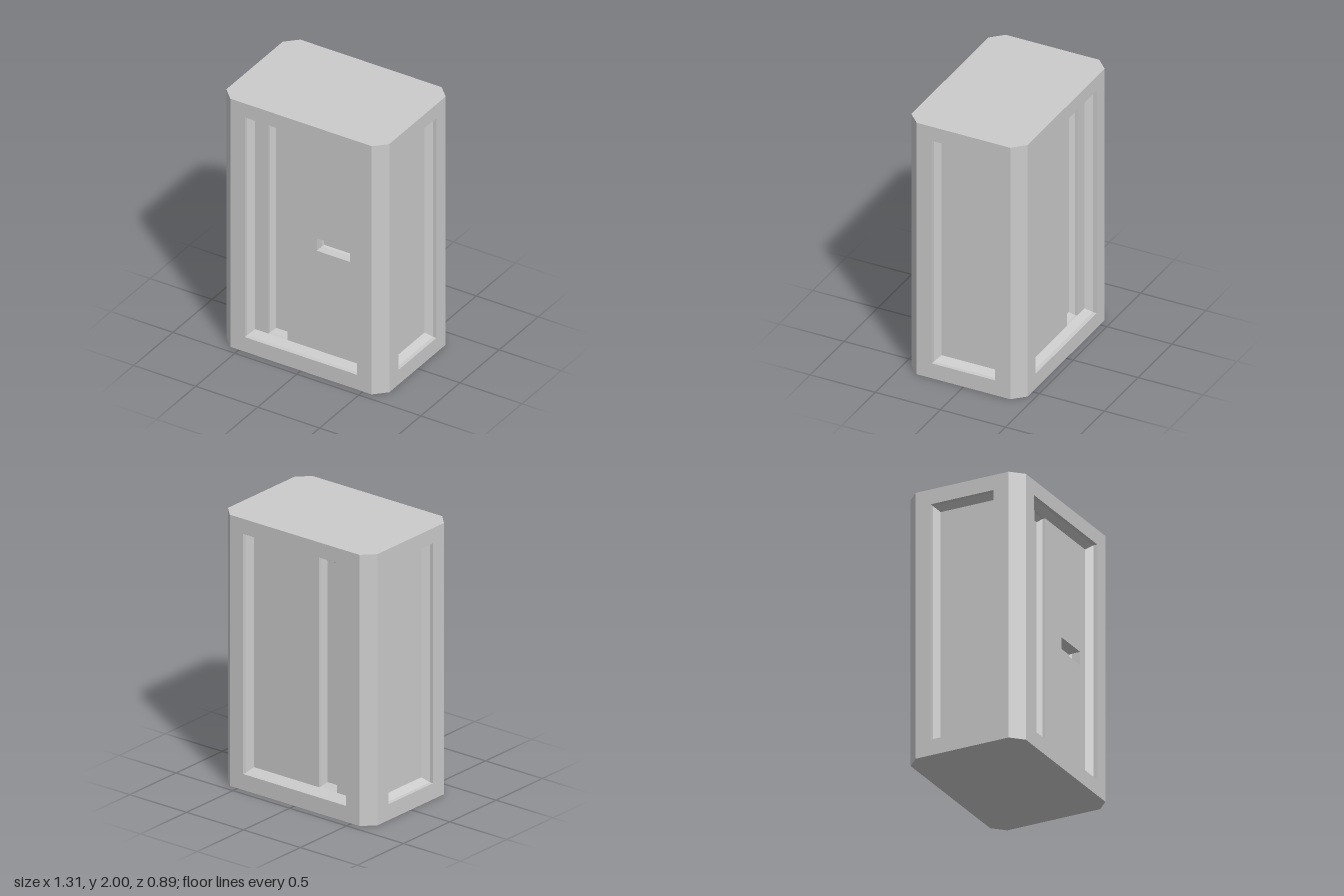
import * as THREE from 'three';

const HALF_W = 0.657, HALF_D = 0.447, CHAMFER = 0.087, HEIGHT = 2;
const material = new THREE.MeshStandardMaterial({ color: 0xcccccc, flatShading: true });

function addMesh(parent, geometry, name) {
  const mesh = new THREE.Mesh(geometry, material);
  mesh.name = name;
  parent.add(mesh);
  return mesh;
}

// Rectangles are [left, bottom, right, top]
const corners = ([l, b, r, t]) => [[l, b], [r, b], [r, t], [l, t]];
const toPoints = rect => corners(rect).map(([x, y]) => new THREE.Vector2(x, y));
const inset = ([l, b, r, t], d) => [l + d, b + d, r - d, t - d];

// Flat rectangle facing +z with an optional rectangular opening
function addFace(parent, name, rect, z, hole) {
  const shape = new THREE.Shape(toPoints(rect));
  if (hole) shape.holes.push(new THREE.Path(toPoints(hole).reverse()));
  addMesh(parent, new THREE.ShapeGeometry(shape), name).position.z = z;
}

// Inward-facing walls: straight reveal, then a bevel down to the inner rectangle
function addReveal(parent, name, rect, z, straight, bevel, depth) {
  const inner = inset(rect, bevel);
  const loops = [[rect, z], [rect, z - straight], [inner, z - depth]]
    .map(([r, h]) => corners(r).map(([x, y]) => [x, y, h]));
  const pos = [];
  for (let k = 0; k < 2; k++) {
    for (let i = 0; i < 4; i++) {
      const j = (i + 1) % 4;
      const a = loops[k][i], b = loops[k][j], c = loops[k + 1][j], d = loops[k + 1][i];
      pos.push(...a, ...b, ...c, ...a, ...c, ...d);
    }
  }
  const geometry = new THREE.BufferGeometry();
  geometry.setAttribute('position', new THREE.Float32BufferAttribute(pos, 3));
  geometry.computeVertexNormals();
  addMesh(parent, geometry, name);
  return inner;
}

// One side of the cabinet: outer frame and recess; returns the inner rectangle
function addFramedSide(parent, halfWidth, opening, z) {
  addFace(parent, 'frame', [-halfWidth, 0, halfWidth, HEIGHT], z, opening);
  return addReveal(parent, 'frameReveal', opening, z, 0.03, 0.036, 0.075);
}

// Broad side with a sunken vertical channel beside the door panel
function addDoorSide(parent, z, mirror, withHandle) {
  const flip = ([l, b, r, t]) => mirror ? [-r, b, -l, t] : [l, b, r, t];
  addFramedSide(parent, HALF_W - CHAMFER, [-0.453, 0.118, 0.453, 1.888], z);
  const panelZ = z - 0.075, low = 0.154, high = 1.852;
  addFace(parent, 'post', flip([-0.417, low, -0.31, high]), panelZ);

  const channel = flip([-0.31, low, -0.155, high]);
  const floor = addReveal(parent, 'channelReveal', channel, panelZ, 0.02, 0.031, 0.05);
  addFace(parent, 'channelFloor', floor, panelZ - 0.05);

  const slot = withHandle ? [0.08, 0.953, 0.346, 1.053] : null;
  addFace(parent, 'doorPanel', flip([-0.155, low, 0.417, high]), panelZ, slot);
  if (slot) {
    const slotFloor = addReveal(parent, 'handleSlotReveal', slot, panelZ, 0.065, 0.009, 0.08);
    addFace(parent, 'handleSlotFloor', slotFloor, panelZ - 0.08);
  }
}

export function createModel() {
  const model = new THREE.Group();
  model.name = 'cabinet';

  // Front and back
  for (const back of [false, true]) {
    const side = new THREE.Group();
    side.name = back ? 'backSide' : 'frontSide';
    addDoorSide(side, HALF_D, back, !back);
    side.rotation.y = back ? Math.PI : 0;
    model.add(side);
  }

  // Left and right
  for (const s of [1, -1]) {
    const side = new THREE.Group();
    side.name = s > 0 ? 'leftSide' : 'rightSide';
    const inner = addFramedSide(side, HALF_D - CHAMFER, [-0.243, 0.118, 0.243, 1.888], HALF_W);
    addFace(side, 'sidePanel', inner, HALF_W - 0.075);
    side.rotation.y = s * Math.PI / 2;
    model.add(side);
  }

  // Chamfered corner strips
  for (const sx of [1, -1]) {
    for (const sz of [1, -1]) {
      const strip = addMesh(model, new THREE.PlaneGeometry(CHAMFER * Math.SQRT2, HEIGHT), 'cornerStrip');
      strip.position.set(sx * (HALF_W - CHAMFER / 2), HEIGHT / 2, sz * (HALF_D - CHAMFER / 2));
      strip.rotation.y = Math.atan2(sx, sz);
    }
  }

  // Octagonal top and base
  const w = HALF_W - CHAMFER, d = HALF_D - CHAMFER;
  const outline = [
    [w, -HALF_D], [HALF_W, -d], [HALF_W, d], [w, HALF_D],
    [-w, HALF_D], [-HALF_W, d], [-HALF_W, -d], [-w, -HALF_D],
  ].map(([x, y]) => new THREE.Vector2(x, y));
  for (const s of [1, -1]) {
    const cap = addMesh(model, new THREE.ShapeGeometry(new THREE.Shape(outline)), s > 0 ? 'top' : 'base');
    cap.rotation.x = -s * Math.PI / 2;
    cap.position.y = s > 0 ? HEIGHT : 0;
  }
  return model;
}
